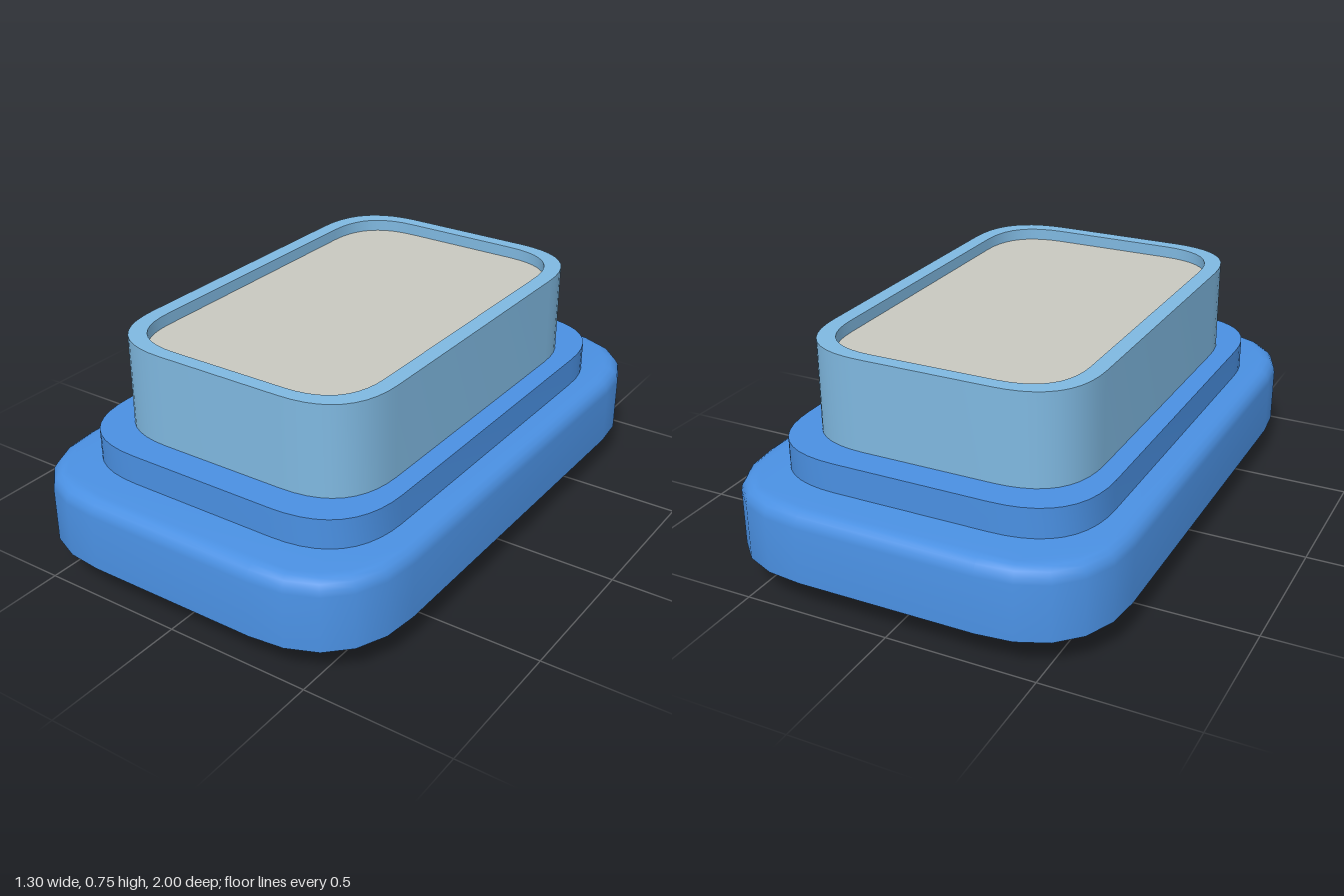
import * as THREE from 'three';
import { toCreasedNormals } from 'three/addons/utils/BufferGeometryUtils.js';

// Rounded rectangle outline with half sizes w, d and corner reach r
function roundedRect(w, d, r, PathType = THREE.Shape) {
  const p = new PathType();
  p.moveTo(-w + r, -d);
  p.lineTo(w - r, -d);
  p.quadraticCurveTo(w, -d, w, -d + r);
  p.lineTo(w, d - r);
  p.quadraticCurveTo(w, d, w - r, d);
  p.lineTo(-w + r, d);
  p.quadraticCurveTo(-w, d, -w, d - r);
  p.lineTo(-w, -d + r);
  p.quadraticCurveTo(-w, -d, -w + r, -d);
  return p;
}

// Upright slab from y0 to y1, with an optional rounded top edge
function slab(name, shape, y0, y1, color, bevel = 0, curveSegments = 10) {
  let geo = new THREE.ExtrudeGeometry(shape, {
    depth: y1 - y0 - bevel,
    curveSegments,
    bevelEnabled: bevel > 0,
    bevelSize: bevel,
    bevelThickness: bevel,
    bevelSegments: 4,
  });
  // Flatten the lower bevel so the underside stays flat and sharp
  const pos = geo.attributes.position;
  for (let i = 0; i < pos.count; i++) pos.setZ(i, Math.max(0, pos.getZ(i)));
  geo.rotateX(-Math.PI / 2);
  geo.translate(0, y0, 0);
  geo = toCreasedNormals(geo, 0.7);
  const mesh = new THREE.Mesh(geo, new THREE.MeshStandardMaterial({ color }));
  mesh.name = name;
  return mesh;
}

export function createModel() {
  const group = new THREE.Group();
  group.name = 'steppedHousing';
  const blue = 0x4a90e2, paleBlue = 0x7fb8e0, stone = 0xc8c8c0;
  const bevel = 0.05;

  // Wide base with softened top edge
  group.add(slab('base', roundedRect(0.65 - bevel, 1 - bevel, 0.3), 0.105, 0.345, blue, bevel, 5));

  // Narrower step on the base
  group.add(slab('step', roundedRect(0.545, 0.835, 0.28), 0.345, 0.445, blue));

  // Hollow sleeve running through the base
  const ring = roundedRect(0.475, 0.73, 0.25);
  ring.holes.push(roundedRect(0.42, 0.68, 0.21, THREE.Path));
  group.add(slab('sleeve', ring, 0, 0.755, paleBlue));

  // Panel set just below the sleeve rim
  group.add(slab('panel', roundedRect(0.42, 0.68, 0.21), 0.665, 0.715, stone));

  return group;
}
